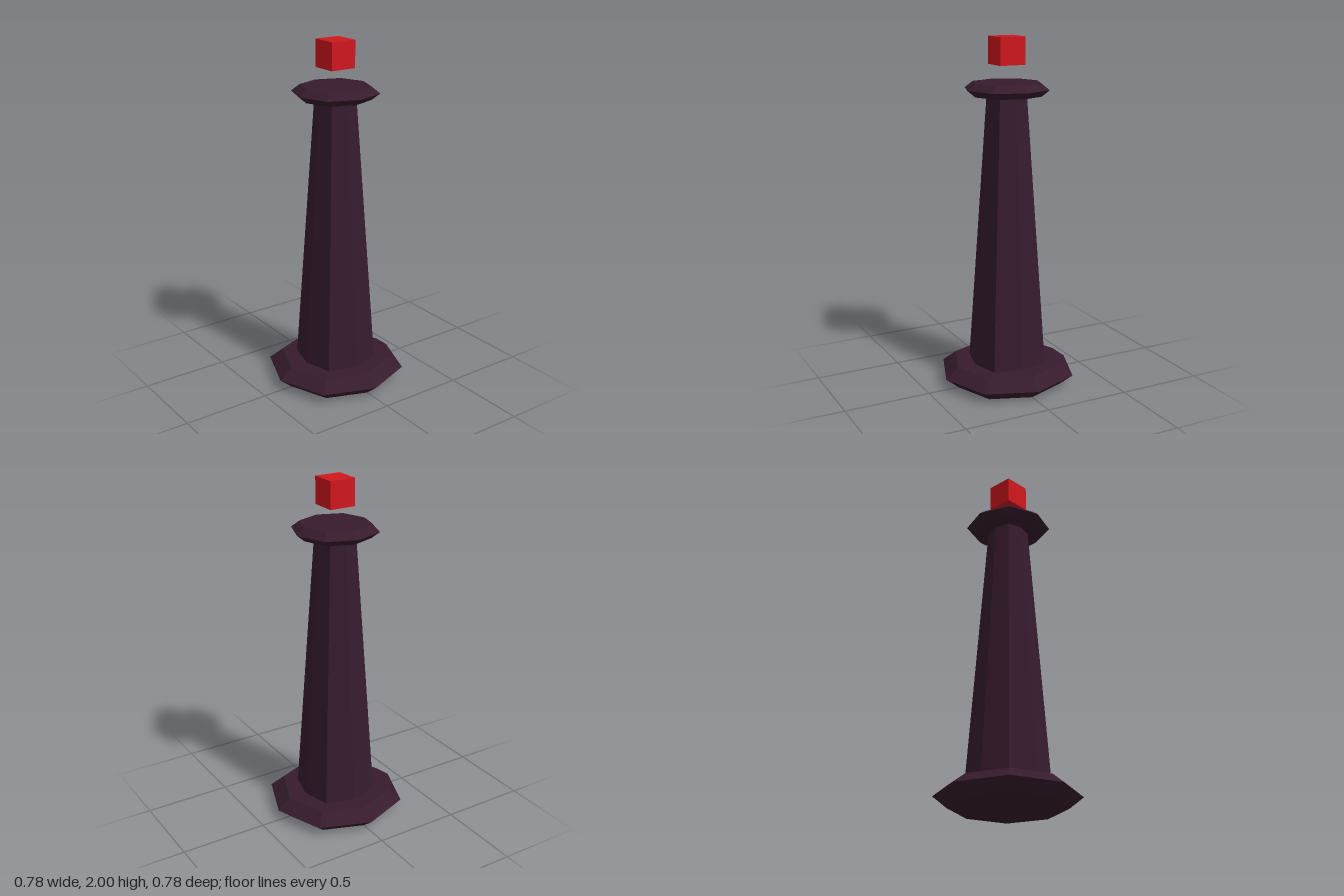
import * as THREE from 'three';

const stone = new THREE.MeshStandardMaterial({ color: 0x361b2d, flatShading: true });
const red = new THREE.MeshStandardMaterial({ color: 0xd0171d, flatShading: true });

// Eight-sided solid from [radius, y] rows; corners on the diagonals are scaled by diagonal
function octagonal(name, rows, diagonal) {
  const profile = [[0, rows[0][1]], ...rows, [0, rows[rows.length - 1][1]]];
  const geometry = new THREE.LatheGeometry(profile.map(([r, y]) => new THREE.Vector2(r, y)), 8);
  const p = geometry.attributes.position;
  for (let i = 0; i < p.count; i++) {
    const x = p.getX(i), z = p.getZ(i);
    if (Math.abs(x * z) > 1e-6) p.setXYZ(i, x * diagonal, p.getY(i), z * diagonal);
  }
  geometry.computeVertexNormals();
  const mesh = new THREE.Mesh(geometry, stone);
  mesh.name = name;
  return mesh;
}

export function createModel() {
  const group = new THREE.Group();
  group.name = 'obelisk';

  // Bevelled foot, tapering shaft with strong diagonal edges, bevelled cap
  group.add(octagonal('base', [[0.315, 0], [0.392, 0.063], [0.315, 0.124]], 1.025));
  group.add(octagonal('shaft', [[0.209, 0.11], [0.104, 1.69]], 1.12));
  group.add(octagonal('cap', [[0.192, 1.676], [0.238, 1.713], [0.192, 1.75]], 1.035));

  // Cube floating above the cap
  const cube = new THREE.Mesh(new THREE.BoxGeometry(0.153, 0.153, 0.153), red);
  cube.name = 'floatingCube';
  cube.position.y = 1.9235;
  group.add(cube);

  return group;
}
